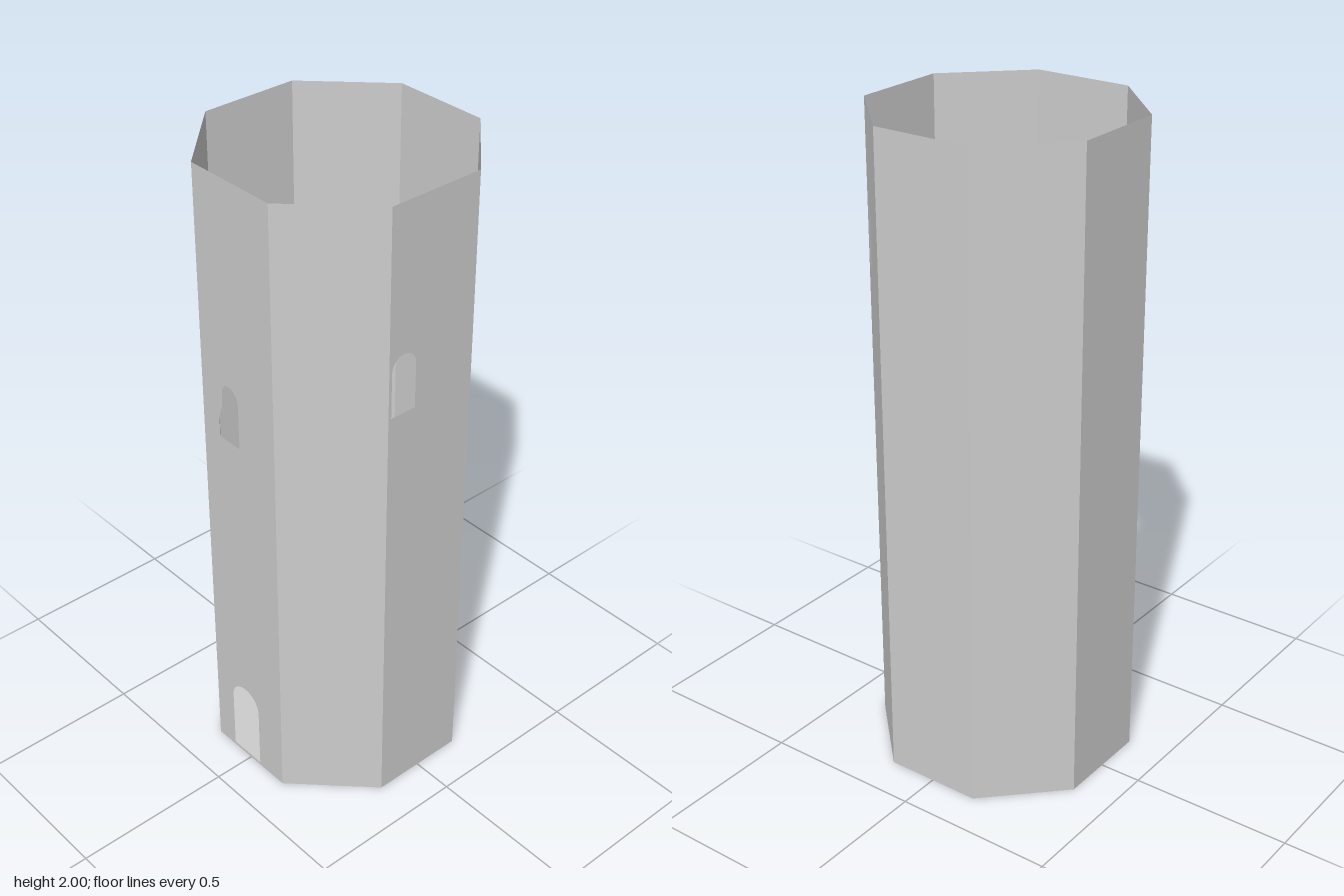
import * as THREE from 'three';

const HEIGHT = 2, APOTHEM = 0.369, HALF_SIDE = APOTHEM * Math.tan(Math.PI / 8);

// Round-arched opening between u0 and u1
function archedOpening(u0, u1, bottom, top) {
  const r = (u1 - u0) / 2, spring = top - r;
  const path = new THREE.Path();
  path.moveTo(u0, bottom);
  path.lineTo(u1, bottom);
  path.lineTo(u1, spring);
  path.absarc((u0 + u1) / 2, spring, r, 0, Math.PI, false);
  path.closePath();
  return path;
}

// Arched opening with a partly crumbled left side
function brokenOpening() {
  const path = new THREE.Path();
  path.moveTo(-0.083, 1.185);
  path.lineTo(0.002, 1.185);
  path.lineTo(0.002, 1.328);
  path.absarc(-0.04, 1.328, 0.042, 0, Math.PI * 0.6, false);
  path.lineTo(-0.065, 1.35);
  path.lineTo(-0.07, 1.29);
  path.lineTo(-0.083, 1.25);
  path.closePath();
  return path;
}

export function createModel() {
  const tower = new THREE.Group();
  tower.name = 'tower';
  const stone = new THREE.MeshStandardMaterial({ color: 0xcccccc });
  stone.name = 'grey stone';
  stone.side = THREE.DoubleSide;

  // Openings by wall, counted from the front towards +x
  const openings = [
    [archedOpening(-0.077, 0.045, 0.01, 0.275), brokenOpening()],
    [archedOpening(-0.083, 0.001, 1.3, 1.487)],
    [archedOpening(-0.143, -0.057, 1.37, 1.555)],
    [archedOpening(-0.145, -0.058, 1.52, 1.705)],
  ];

  // Eight thin walls around an open shaft
  for (let i = 0; i < 8; i++) {
    const shape = new THREE.Shape();
    shape.moveTo(-HALF_SIDE, 0);
    shape.lineTo(HALF_SIDE, 0);
    shape.lineTo(HALF_SIDE, HEIGHT);
    shape.lineTo(-HALF_SIDE, HEIGHT);
    shape.closePath();
    shape.holes.push(...(openings[i] || []));
    const geometry = new THREE.ShapeGeometry(shape, 10);
    geometry.translate(0, 0, APOTHEM);
    geometry.rotateY(i * Math.PI / 4);
    const wall = new THREE.Mesh(geometry, stone);
    wall.name = `wall${i + 1}`;
    tower.add(wall);
  }

  // Octagonal floor closing the base
  const floorGeometry = new THREE.CircleGeometry(APOTHEM / Math.cos(Math.PI / 8), 8, Math.PI / 8);
  floorGeometry.rotateX(-Math.PI / 2);
  const floor = new THREE.Mesh(floorGeometry, stone);
  floor.name = 'floor';
  tower.add(floor);

  return tower;
}
